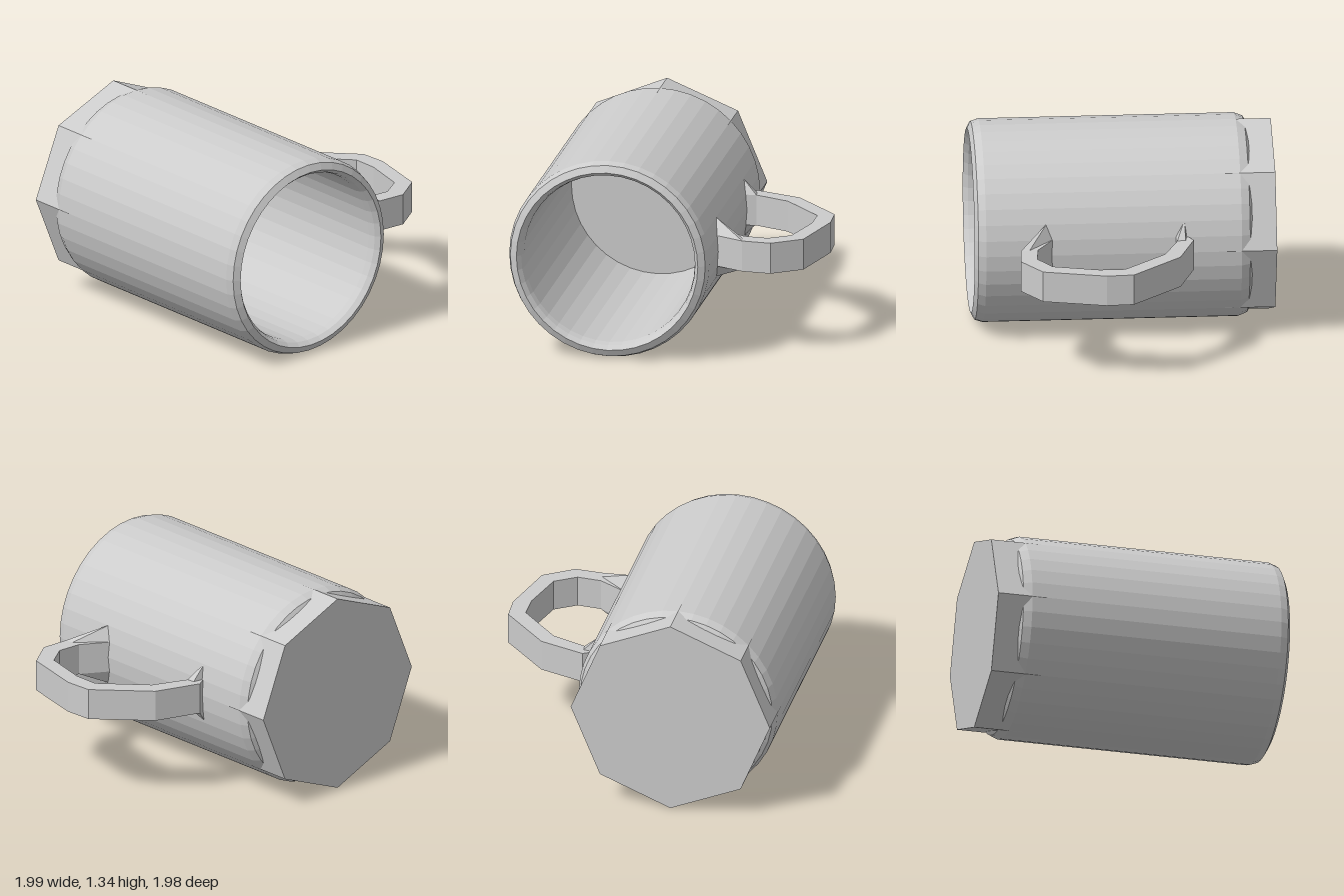
import * as THREE from 'three';

const CX = -0.333, CY = 0.668; // mug axis, running along z

// Skins a run of equal-sized rings of points, all wound the same way.
function skin(rings) {
  const n = rings[0].length, index = [];
  for (let s = 0; s < rings.length - 1; s++) {
    for (let i = 0; i < n; i++) {
      const j = (i + 1) % n, a = s * n, b = a + n;
      index.push(a + i, b + i, a + j, a + j, b + i, b + j);
    }
  }
  const geo = new THREE.BufferGeometry();
  geo.setAttribute('position', new THREE.Float32BufferAttribute(rings.flat(2), 3));
  geo.setIndex(index);
  geo.computeVertexNormals();
  return geo;
}

export function createModel() {
  const group = new THREE.Group();
  const material = new THREE.MeshStandardMaterial({ color: 0xcccccc, flatShading: true });
  const add = (name, geo, x = 0, y = 0, z = 0) => {
    const mesh = new THREE.Mesh(geo, material);
    mesh.name = name;
    mesh.position.set(x, y, z);
    group.add(mesh);
  };

  // Hollow body: closed back, bevelled outer edges, rim and inner wall
  const profile = [
    [0, -0.85], [0.59, -0.85], [0.645, -0.815], [0.667, -0.76],
    [0.667, 0.915], [0.65, 0.965], [0.605, 0.988],
    [0.58, 0.955], [0.57, 0.91], [0.57, -0.655], [0, -0.655],
  ].map(([r, h]) => new THREE.Vector2(r, h));
  add('body', new THREE.LatheGeometry(profile, 40).rotateX(Math.PI / 2), CX, CY);

  // Eight-sided base, its corners flush with the body
  add('base', new THREE.CylinderGeometry(0.668, 0.668, 0.33, 8).rotateX(Math.PI / 2), CX, CY, -0.825);

  // Handle sections: outer x, z; inner x, z; optional flare x, z
  const half = 0.104;
  const sections = [
    [0.315, 0.61, 0.315, 0.475, 0.288, 0.515],
    [0.51, 0.70, 0.50, 0.588],
    [0.70, 0.713, 0.66, 0.603],
    [0.893, 0.58, 0.80, 0.51],
    [0.993, 0.17, 0.877, 0.21],
    [0.983, -0.01, 0.877, 0.04],
    [0.685, -0.333, 0.625, -0.237],
    [0.385, -0.44, 0.395, -0.332],
    [0.315, -0.40, 0.315, -0.325, 0.288, -0.385],
  ];
  const rings = sections.map(([ox, oz, ix, iz, fx, fz]) => {
    const flared = fx !== undefined;
    const px = flared ? fx : (ox + ix) / 2, pz = flared ? fz : (oz + iz) / 2;
    const ph = flared ? 0.208 : half;
    return [
      [ox, half, oz], [px, ph, pz], [ix, half, iz],
      [ix, -half, iz], [px, -ph, pz], [ox, -half, oz],
    ];
  });
  add('handle', skin(rings), 0, CY + 0.003, 0);

  return group;
}
